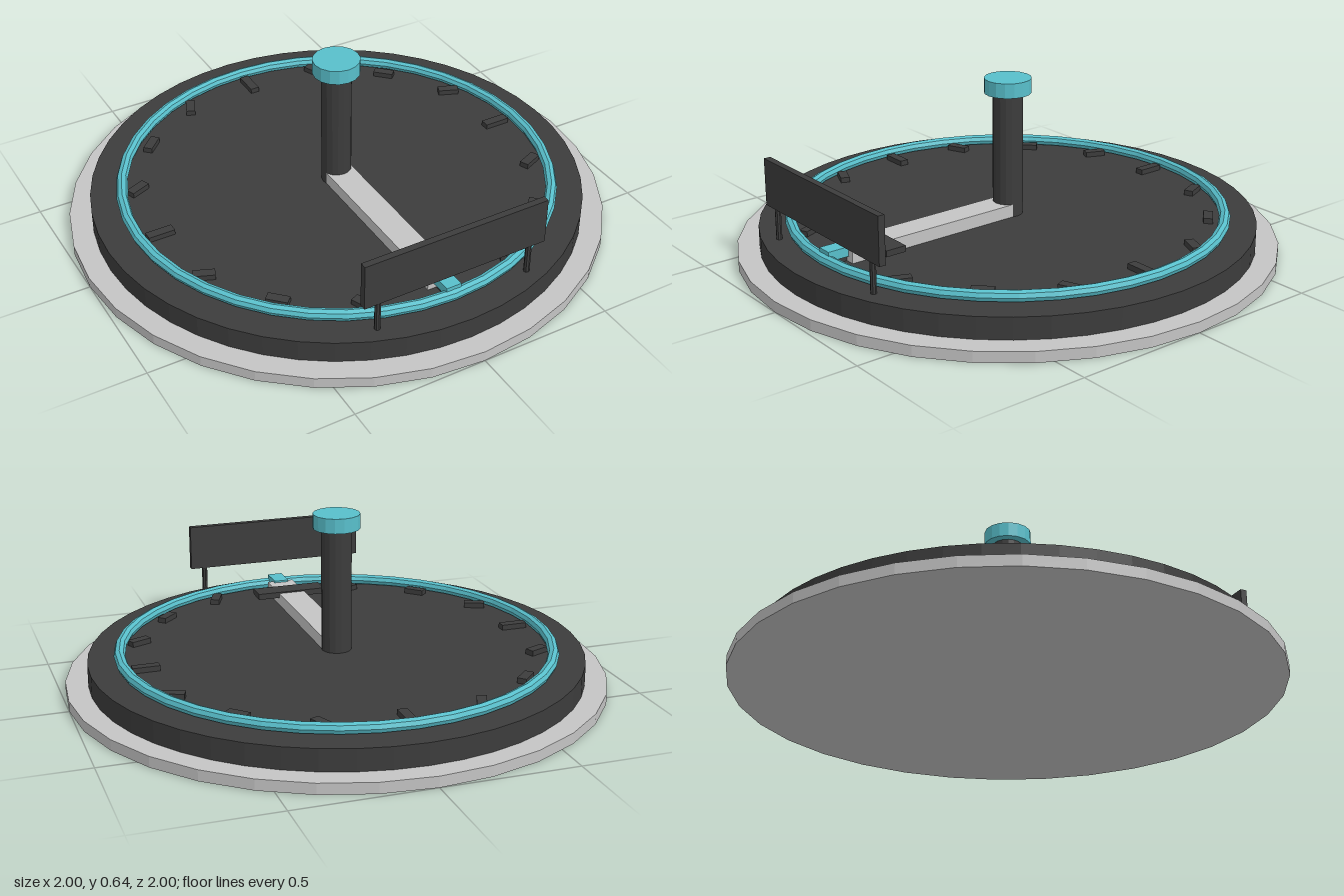
import * as THREE from 'three';

const mat = (name, color) => {
  const m = new THREE.MeshStandardMaterial({ color, flatShading: true });
  m.name = name;
  return m;
};

export function createModel() {
  const model = new THREE.Group();
  model.name = 'roundPlatform';
  const grey = mat('lightGrey', 0xc4c4c4);
  const dark = mat('charcoal', 0x3c3c3c);
  const cyan = mat('cyan', 0x58bfcb);

  const add = (name, geometry, material, x, y, z) => {
    const mesh = new THREE.Mesh(geometry, material);
    mesh.name = name;
    mesh.position.set(x, y, z);
    model.add(mesh);
    return mesh;
  };
  // Upright cylinder and box, given by their bottom and top heights
  const disc = (name, r, y0, y1, sides, material, x = 0, z = 0) =>
    add(name, new THREE.CylinderGeometry(r, r, y1 - y0, sides), material, x, (y0 + y1) / 2, z);
  const box = (name, w, d, y0, y1, material, x, z) =>
    add(name, new THREE.BoxGeometry(w, y1 - y0, d), material, x, (y0 + y1) / 2, z);

  // Stacked base
  disc('baseRim', 1, 0, 0.04, 32, grey);
  disc('deck', 0.917, 0.04, 0.12, 48, dark);

  // Glowing ring on the deck
  const ring = add('deckRing', new THREE.TorusGeometry(0.8, 0.021, 8, 40), cyan, 0, 0.14, 0);
  ring.rotation.x = Math.PI / 2;

  // Tick marks, turned opposite to their place on the circle
  for (let i = 0; i < 16; i++) {
    const a = (i * Math.PI) / 8;
    const onAxis = i % 4 === 0;
    const tick = box('tickMark', onAxis ? 0.1 : 0.08, 0.035, 0.115, 0.14, dark,
      0.72 * Math.cos(a), 0.72 * Math.sin(a));
    if (!onAxis) tick.position.set(0.74 * Math.cos(a), 0.1275, 0.74 * Math.sin(a));
    tick.rotation.y = a;
  }

  // Central post with its cap
  disc('post', 0.056, 0.12, 0.59, 16, dark);
  disc('postCap', 0.087, 0.585, 0.64, 16, cyan);

  // Walkway from the post to the ring
  box('walkway', 0.105, 0.72, 0.12, 0.168, grey, 0, 0.36);
  box('walkwayStep', 0.275, 0.08, 0.15, 0.173, dark, 0, 0.597);
  box('walkwayTip', 0.058, 0.1, 0.14, 0.175, cyan, 0, 0.75);

  // Sign board on two legs
  box('signBoard', 0.715, 0.025, 0.235, 0.41, dark, 0, 0.8);
  for (const side of [-1, 1]) disc('signLeg', 0.011, 0.12, 0.25, 8, dark, side * 0.3, 0.8);

  return model;
}
